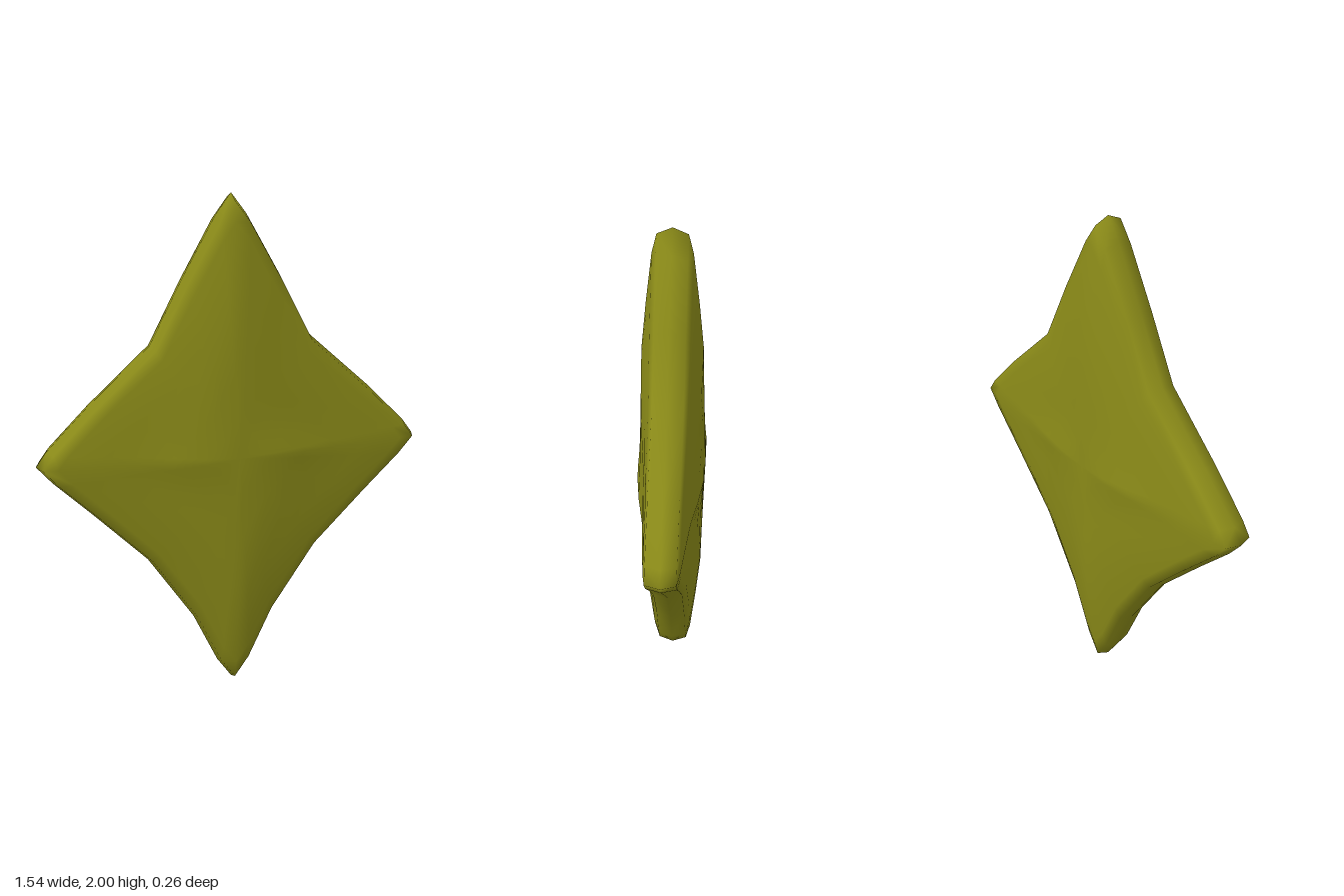
import * as THREE from 'three';

// Right half of the outline, from the top tip round to the bottom tip
const HALF = [
  [0, 2], [0.06, 1.92], [0.19, 1.69], [0.32, 1.44], [0.57, 1.215], [0.73, 1.055], [0.77, 1],
  [0.71, 0.93], [0.56, 0.785], [0.345, 0.57], [0.16, 0.297], [0.06, 0.085], [0, 0],
];

// Rings from the rim inwards: [scale, depth towards top/bottom, depth towards the sides]
const RINGS = [
  [0.975, 0.057, 0.057], [0.9, 0.075, 0.066], [0.7, 0.098, 0.079], [0.52, 0.115, 0.091],
  [0.35, 0.119, 0.113], [0.18, 0.124, 0.128],
];
const CENTRE_DEPTH = 0.13;

function cushionGeometry() {
  const left = HALF.slice(1, -1).reverse().map(([x, y]) => [-x, y]);
  const outline = [...HALF, ...left];
  const n = outline.length;
  const positions = [];
  const index = [];

  const addRing = (scale, depthV, depthH, side) => {
    const start = positions.length / 3;
    for (const [x, y] of outline) {
      const dy = y - 1;
      const vertical = (dy * dy) / (x * x + dy * dy);
      const z = THREE.MathUtils.lerp(depthH, depthV, vertical);
      positions.push(x * scale, 1 + dy * scale, z * side);
    }
    return start;
  };
  const addTriangle = (a, b, c, side) => (side > 0 ? index.push(a, b, c) : index.push(a, c, b));

  // Shared rim, then a domed face on the front and on the back
  const rim = addRing(1, 0, 0, 1);
  for (const side of [1, -1]) {
    let outer = rim;
    for (const [scale, depthV, depthH] of RINGS) {
      const inner = addRing(scale, depthV, depthH, side);
      for (let i = 0; i < n; i++) {
        const j = (i + 1) % n;
        addTriangle(outer + i, inner + i, outer + j, side);
        addTriangle(outer + j, inner + i, inner + j, side);
      }
      outer = inner;
    }
    const centre = positions.length / 3;
    positions.push(0, 1, CENTRE_DEPTH * side);
    for (let i = 0; i < n; i++) addTriangle(outer + i, centre, outer + ((i + 1) % n), side);
  }

  const geometry = new THREE.BufferGeometry();
  geometry.setAttribute('position', new THREE.Float32BufferAttribute(positions, 3));
  geometry.setIndex(index);
  geometry.computeVertexNormals();
  return geometry;
}

export function createModel() {
  const group = new THREE.Group();
  group.name = 'fourPointedStar';
  const body = new THREE.Mesh(cushionGeometry(), new THREE.MeshStandardMaterial({ color: 0x8a8a18 }));
  body.name = 'starBody';
  group.add(body);
  return group;
}
